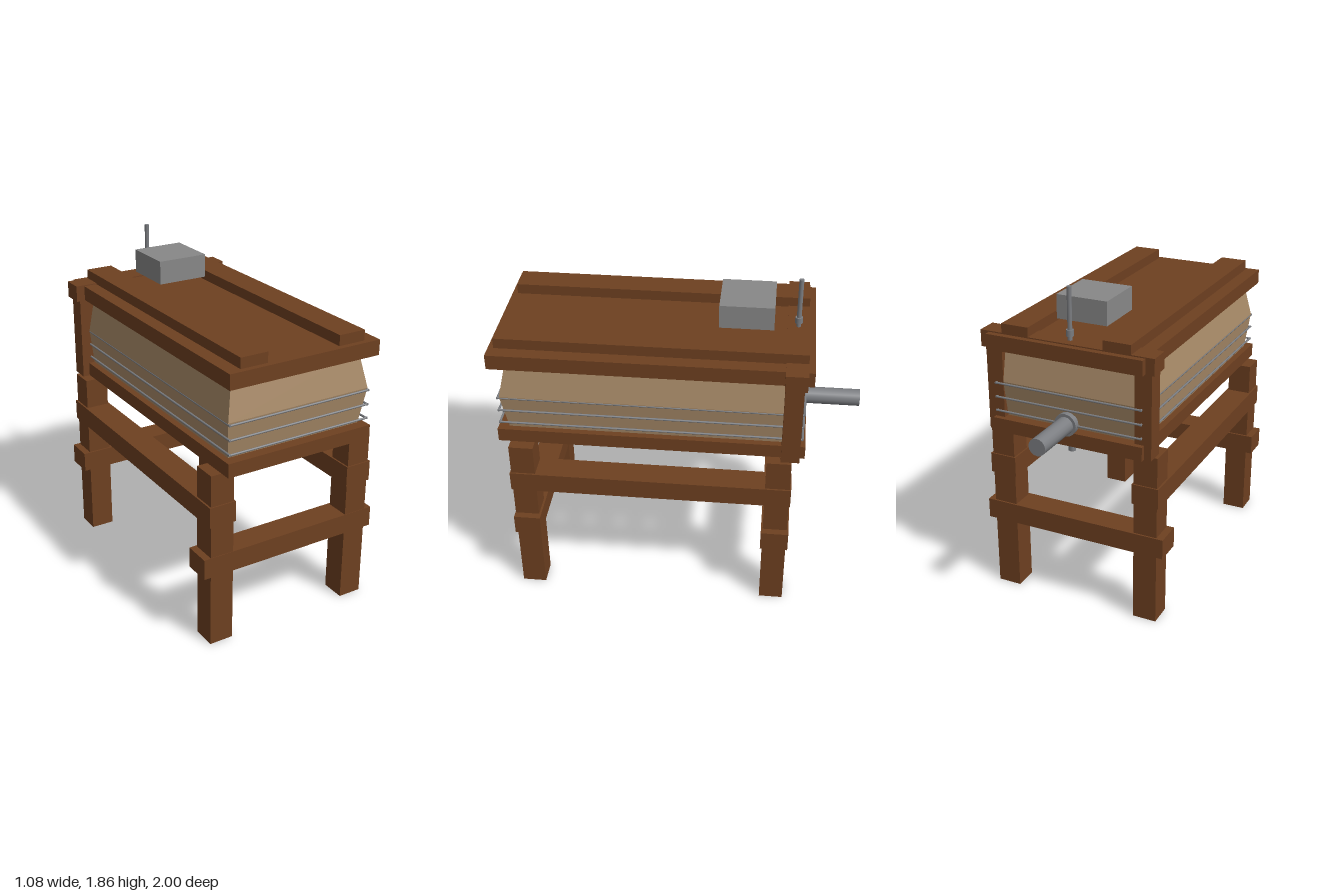
import * as THREE from 'three';

export function createModel() {
  const model = new THREE.Group();
  const material = (name, color) => {
    const m = new THREE.MeshStandardMaterial({ color });
    m.name = name;
    return m;
  };
  const wood = material('brown wood', 0x6e4020);
  const leather = material('tan leather', 0xa88a68);
  const stone = material('grey weight', 0x888888);
  const metal = material('grey metal', 0x7c7e82);

  const add = (name, geometry, mat) => {
    const mesh = new THREE.Mesh(geometry, mat);
    mesh.name = name;
    model.add(mesh);
    return mesh;
  };
  // Box given by its limits on each axis
  const box = (name, [x0, x1], [y0, y1], [z0, z1], mat = wood) =>
    add(name, new THREE.BoxGeometry(x1 - x0, y1 - y0, z1 - z0), mat)
      .position.set((x0 + x1) / 2, (y0 + y1) / 2, (z0 + z1) / 2);
  // Round bar between two points
  const bar = (name, a, b, radius, sides = 8) => {
    const from = new THREE.Vector3(...a), to = new THREE.Vector3(...b);
    const dir = to.clone().sub(from);
    const mesh = add(name, new THREE.CylinderGeometry(radius, radius, dir.length(), sides), metal);
    mesh.position.copy(from).add(to).multiplyScalar(0.5);
    mesh.quaternion.setFromUnitVectors(new THREE.Vector3(0, 1, 0), dir.normalize());
  };
  const mirrored = (s, a, b) => (s > 0 ? [a, b] : [-b, -a]);

  // Stand: legs, side rails and end rails
  const legZ = [[0.78, 0.915], [-0.635, -0.5]];
  for (const s of [1, -1]) {
    for (const z of legZ) box('leg', mirrored(s, 0.363, 0.498), [0, 1], z);
    box('sideRail', mirrored(s, 0.354, 0.508), [0.71, 0.825], [-0.643, 0.922]);
  }
  box('frontRail', [-0.538, 0.538], [0.415, 0.53], [0.768, 0.918]);
  box('backRail', [-0.538, 0.538], [0.415, 0.53], [-0.645, -0.49]);

  // Boards, battens and rear frame
  box('bottomBoard', [-0.44, 0.44], [1.002, 1.08], [-0.703, 0.98]);
  box('topBoard', [-0.45, 0.45], [1.478, 1.562], [-0.724, 1]);
  box('rearCrossbar', [-0.5, 0.5], [1.475, 1.568], [-0.69, -0.572]);
  for (const s of [1, -1]) {
    box('batten', mirrored(s, 0.215, 0.372), [1.56, 1.62], [-0.69, 0.97]);
    box('rearPost', mirrored(s, 0.385, 0.48), [1, 1.5], [-0.675, -0.575]);
  }

  // Leather bellows: rectangular sections that bulge in the middle
  const midZ = 0.14;
  const sections = [[1.07, 0.403, 0.778], [1.285, 0.428, 0.815], [1.485, 0.388, 0.773]];
  const corners = ([y, w, d]) => [[-w, y, midZ + d], [w, y, midZ + d], [w, y, midZ - d], [-w, y, midZ - d]];
  const points = [];
  for (let i = 0; i < sections.length - 1; i++) {
    const low = corners(sections[i]), high = corners(sections[i + 1]);
    for (let k = 0; k < 4; k++) {
      const n = (k + 1) % 4;
      points.push(...low[k], ...low[n], ...high[n], ...low[k], ...high[n], ...high[k]);
    }
  }
  const skin = new THREE.BufferGeometry();
  skin.setAttribute('position', new THREE.Float32BufferAttribute(points, 3));
  skin.computeVertexNormals();
  leather.side = THREE.DoubleSide;
  add('bellows', skin, leather);

  // Thin metal hoops around the bellows
  for (const y of [1.118, 1.197, 1.277]) {
    for (const s of [1, -1]) {
      bar('sideHoopRod', [s * 0.424, y, -0.69], [s * 0.424, y, 0.97], 0.006);
      const z = s > 0 ? 0.965 : -0.685;
      bar('endHoopRod', [-0.43, y, z], [0.43, y, z], 0.006);
    }
  }

  // Nozzle with collar
  bar('nozzle', [0, 1.12, -1], [0, 1.12, -0.65], 0.048, 16);
  bar('nozzleCollar', [0, 1.12, -0.706], [0, 1.12, -0.675], 0.064, 16);

  // Guide rod with nuts
  bar('guideRod', [0, 0.95, -0.63], [0, 1.855, -0.63], 0.013);
  bar('lowerNut', [0, 0.945, -0.63], [0, 0.992, -0.63], 0.021);
  bar('upperNut', [0, 1.59, -0.63], [0, 1.625, -0.63], 0.021);

  // Weight block on the top
  box('weight', [-0.147, 0.147], [1.622, 1.755], [-0.5, -0.205], stone);

  return model;
}
